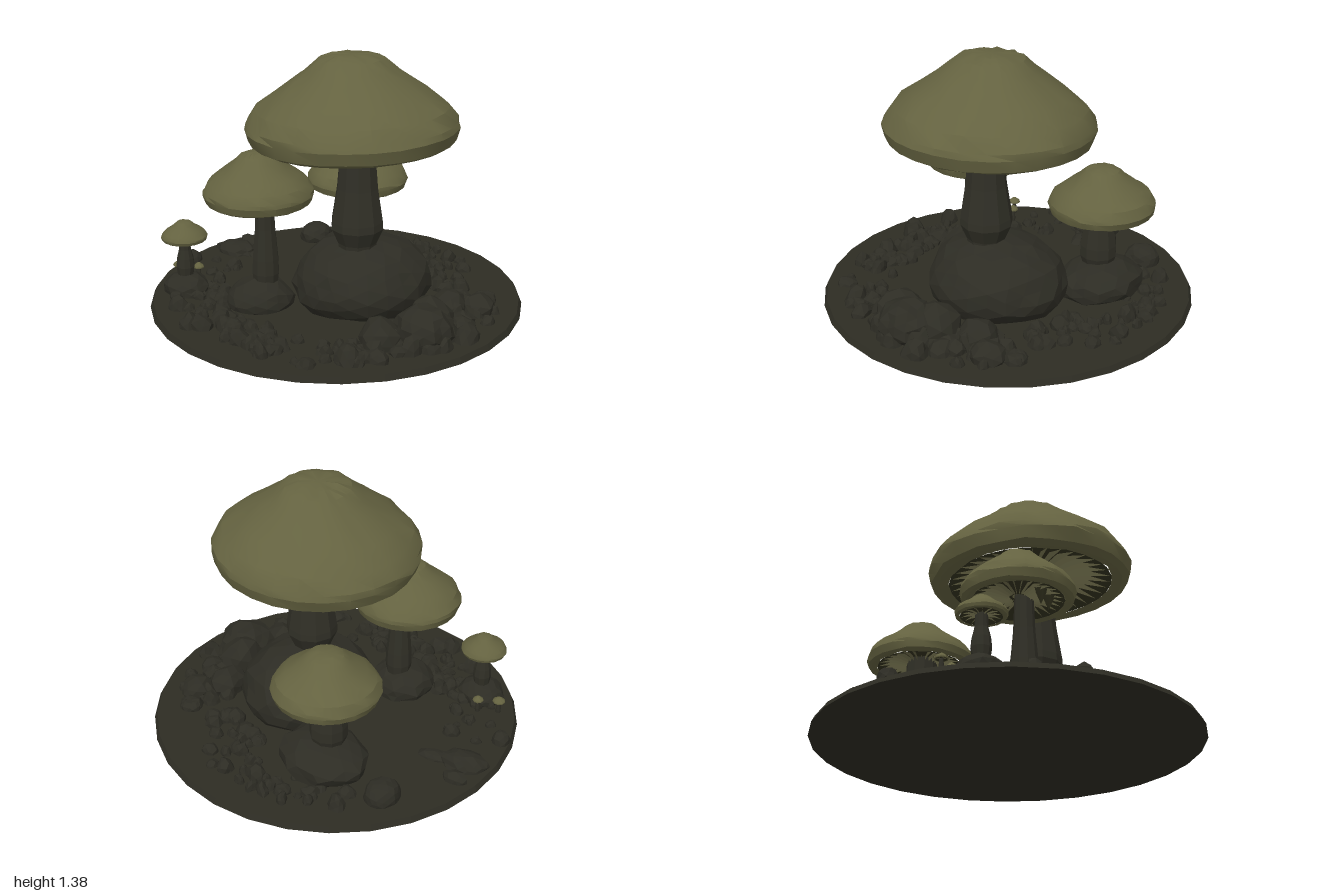
import * as THREE from 'three';
import { mergeVertices, toCreasedNormals } from 'three/addons/utils/BufferGeometryUtils.js';

const mat = (name, color, extra = {}) => {
  const m = new THREE.MeshStandardMaterial({ color, ...extra });
  m.name = name;
  return m;
};

// Small seeded generator
function seeded(seed) {
  let s = seed;
  return () => (s = (s * 16807) % 2147483647) / 2147483647;
}

// Repeatable value in -1..1 for a point, so shared corners move together
function jitter(x, y, z, seed) {
  const v = Math.sin(Math.round(x * 500) * 12.99 + Math.round(y * 500) * 78.23
    + Math.round(z * 500) * 37.72 + seed * 4.17) * 43758.55;
  return (v - Math.floor(v)) * 2 - 1;
}

export function createModel() {
  const group = new THREE.Group();
  const capMat = mat('olive cap', 0x646240);
  const gillMat = mat('olive gill', 0x58563a, { side: THREE.DoubleSide });
  const underMat = mat('dark underside', 0x33321f);
  const stemMat = mat('dark stem', 0x302f26, { flatShading: true });
  const stoneMat = mat('dark stone', 0x2d2c24, { flatShading: true });
  const soilMat = mat('dark soil', 0x2d2c23, { flatShading: true });

  const add = (parent, name, geo, material, x = 0, y = 0, z = 0) => {
    const m = new THREE.Mesh(geo, material);
    m.name = name;
    m.position.set(x, y, z);
    parent.add(m);
    return m;
  };
  const profile = (pts, R, H) => pts.map(([r, y]) => new THREE.Vector2(r * R, y * H));

  // Faceted stone with a flat foot on the ground
  function stone(name, x, z, rx, top, rz, cy, detail, rough, seed, turn = 0) {
    const geo = new THREE.IcosahedronGeometry(1, detail);
    const p = geo.attributes.position;
    for (let i = 0; i < p.count; i++) {
      const a = p.getX(i), b = p.getY(i), c = p.getZ(i);
      const k = 1 + rough * jitter(a, b, c, seed);
      p.setXYZ(i, a * k * rx, Math.max(0.015, cy + b * k * (top - cy)), c * k * rz);
    }
    geo.computeVertexNormals();
    add(group, name, geo, stoneMat, x, 0, z).rotation.y = turn;
  }

  // Cap shell: y = 0 at the lip, 1 at the crown
  const capPts = [[0.8, 0.03], [0.9, 0], [0.965, 0.04], [1, 0.18], [0.985, 0.25], [0.9, 0.4], [0.73, 0.55],
    [0.53, 0.72], [0.42, 0.83], [0.31, 0.94], [0.18, 0.99], [0, 1]];
  const underPts = [[0.1, 0.12], [0.5, 0.16], [0.8, 0.03]];

  function mushroom(name, o) {
    const g = new THREE.Group();
    g.name = name;
    group.add(g);
    const { x, z, sx = x, sz = z, R, lip, top, foot, stem, sides = 22, gills = 28 } = o;
    const H = top - lip;
    const cap = new THREE.Group();
    cap.name = 'capAndGills';
    cap.position.set(x, lip, z);
    cap.rotation.x = o.tilt || 0;
    g.add(cap);

    let shell = new THREE.LatheGeometry(profile(capPts, R, H), sides);
    shell.deleteAttribute('uv');
    shell.deleteAttribute('normal');
    shell = mergeVertices(shell, 1e-4);
    const p = shell.attributes.position;
    for (let i = 0; i < p.count; i++) {
      const a = p.getX(i), b = p.getY(i), c = p.getZ(i);
      const n = jitter(a, b, c, o.seed);
      p.setXYZ(i, a * (1 + 0.015 * n), b + 0.012 * H * n, c * (1 + 0.015 * n));
    }
    add(cap, 'cap', toCreasedNormals(shell, 0.45), capMat);
    add(cap, 'underside', new THREE.LatheGeometry(profile(underPts, R, H), sides), underMat);

    // Thin radial gills
    const fin = new THREE.Shape(profile([[0.14, 0.13], [0.5, 0.17], [0.84, 0.03], [0.5, 0.07], [0.2, 0.05]], R, H));
    const finGeo = new THREE.ShapeGeometry(fin);
    for (let i = 0; i < gills; i++) {
      add(cap, 'gill', finGeo, gillMat).rotation.y = (i / gills) * Math.PI * 2;
    }

    // Stem, given as radius and height pairs
    const st = stem.map(([r, y]) => new THREE.Vector2(r, y));
    add(g, 'stem', new THREE.LatheGeometry(st, 10), stemMat, sx, 0, sz);
    return cap;
  }

  // Ground disc
  add(group, 'groundDisc', new THREE.CylinderGeometry(0.985, 1, 0.03, 30), soilMat, 0, 0.015, 0);

  // Mushrooms
  mushroom('largeMushroom', { x: 0, z: 0.14, sx: 0.005, sz: 0.175, R: 0.55, lip: 0.92, top: 1.38, tilt: -0.04, seed: 1,
    sides: 26, gills: 36, stem: [[0.1, 0.34], [0.105, 0.38], [0.14, 0.46], [0.138, 0.5], [0.11, 0.68], [0.09, 0.92], [0.085, 1.02]] });
  const torn = mushroom('leftMushroom', { x: -0.38, z: -0.17, sx: -0.37, sz: -0.13, R: 0.29, lip: 0.59, top: 0.86, seed: 2,
    stem: [[0.06, 0.1], [0.073, 0.2], [0.07, 0.28], [0.055, 0.45], [0.048, 0.64]] });
  mushroom('rightMushroom', { x: 0.39, z: -0.31, sx: 0.375, R: 0.285, lip: 0.48, top: 0.73, seed: 3,
    stem: [[0.075, 0.14], [0.1, 0.22], [0.1, 0.28], [0.085, 0.4], [0.08, 0.53]] });
  mushroom('smallMushroom', { x: -0.63, z: -0.52, R: 0.125, lip: 0.325, top: 0.43, seed: 4, sides: 16, gills: 14,
    stem: [[0.04, 0.1], [0.05, 0.17], [0.045, 0.22], [0.033, 0.27], [0.03, 0.35]] });
  [[-0.57, -0.69, 0.035], [-0.5, -0.6, 0.03]].forEach(([x, z, R], i) => mushroom('tinyMushroom', {
    x, z, R, lip: 0.1, top: 0.13, seed: 5 + i, sides: 9, gills: 6,
    stem: [[0.012, 0.02], [0.014, 0.05], [0.009, 0.11]] }));

  // Torn skirt hanging below the left cap
  [[-0.09, 0.12], [0.1, 0.12], [-0.13, 0.05], [0.12, -0.04]].forEach(([x, z]) => {
    const c = add(torn, 'tornSkirt', new THREE.ConeGeometry(0.035, 0.08, 5), underMat, x, -0.01, z);
    c.rotation.x = Math.PI;
  });

  // Boulders: x, z, half width, top, half depth, centre height, detail, roughness, turn
  [
    [0.06, 0.15, 0.38, 0.385, 0.35, 0.15, 3, 0.035, 0],
    [0.4, -0.3, 0.21, 0.2, 0.25, 0.08, 2, 0.06, 0],
    [0.39, -0.7, 0.1, 0.13, 0.09, 0.05, 2, 0.06, 0],
    [-0.4, -0.14, 0.18, 0.17, 0.17, 0.06, 2, 0.06, 0],
    [-0.63, -0.52, 0.12, 0.13, 0.13, 0.05, 2, 0.06, 0],
    [-0.02, 0.74, 0.15, 0.21, 0.15, 0.09, 2, 0.09, 0],
    [0.1, 0.65, 0.13, 0.2, 0.12, 0.07, 1, 0.12, 0.4],
    [-0.2, 0.62, 0.13, 0.16, 0.11, 0.06, 1, 0.12, 0.9],
    [0.3, 0.56, 0.11, 0.15, 0.1, 0.06, 1, 0.12, 0.2],
    [0.45, 0.65, 0.1, 0.12, 0.09, 0.05, 1, 0.12, 0.5],
    [-0.1, -0.83, 0.09, 0.09, 0.13, 0.03, 2, 0.1, 0.3],
    [-0.04, -0.68, 0.05, 0.06, 0.1, 0.02, 1, 0.1, 0.3],
    [0.03, -0.88, 0.05, 0.08, 0.07, 0.03, 1, 0.12, 0.2],
    [-0.38, -0.86, 0.05, 0.09, 0.05, 0.03, 1, 0.12, 0],
  ].forEach(([x, z, rx, top, rz, cy, d, rough, turn], i) => stone('boulder', x, z, rx, top, rz, cy, d, rough, i + 1, turn));

  // Rubble in arcs: start and end angle, inner and outer radius, count, size
  const rnd = seeded(77);
  [
    [35, 125, 0.58, 0.88, 62, 0.055],
    [120, 160, 0.62, 0.88, 24, 0.045],
    [155, 215, 0.6, 0.87, 48, 0.048],
    [215, 250, 0.62, 0.88, 18, 0.038],
    [-50, 15, 0.64, 0.84, 34, 0.042],
    [0, 40, 0.52, 0.7, 18, 0.045],
  ].forEach(([a0, a1, r0, r1, n, size]) => {
    for (let i = 0; i < n; i++) {
      const a = THREE.MathUtils.degToRad(a0 + (a1 - a0) * rnd());
      const r = r0 + (r1 - r0) * rnd();
      const s = size * (0.55 + 0.8 * rnd());
      stone('rubble', Math.cos(a) * r, Math.sin(a) * r, s, 0.035 + s * (0.6 + 0.7 * rnd()), s * (0.6 + 0.5 * rnd()),
        0.025, 1, 0.15, i + a0, rnd() * 6.28);
    }
  });

  return group;
}
